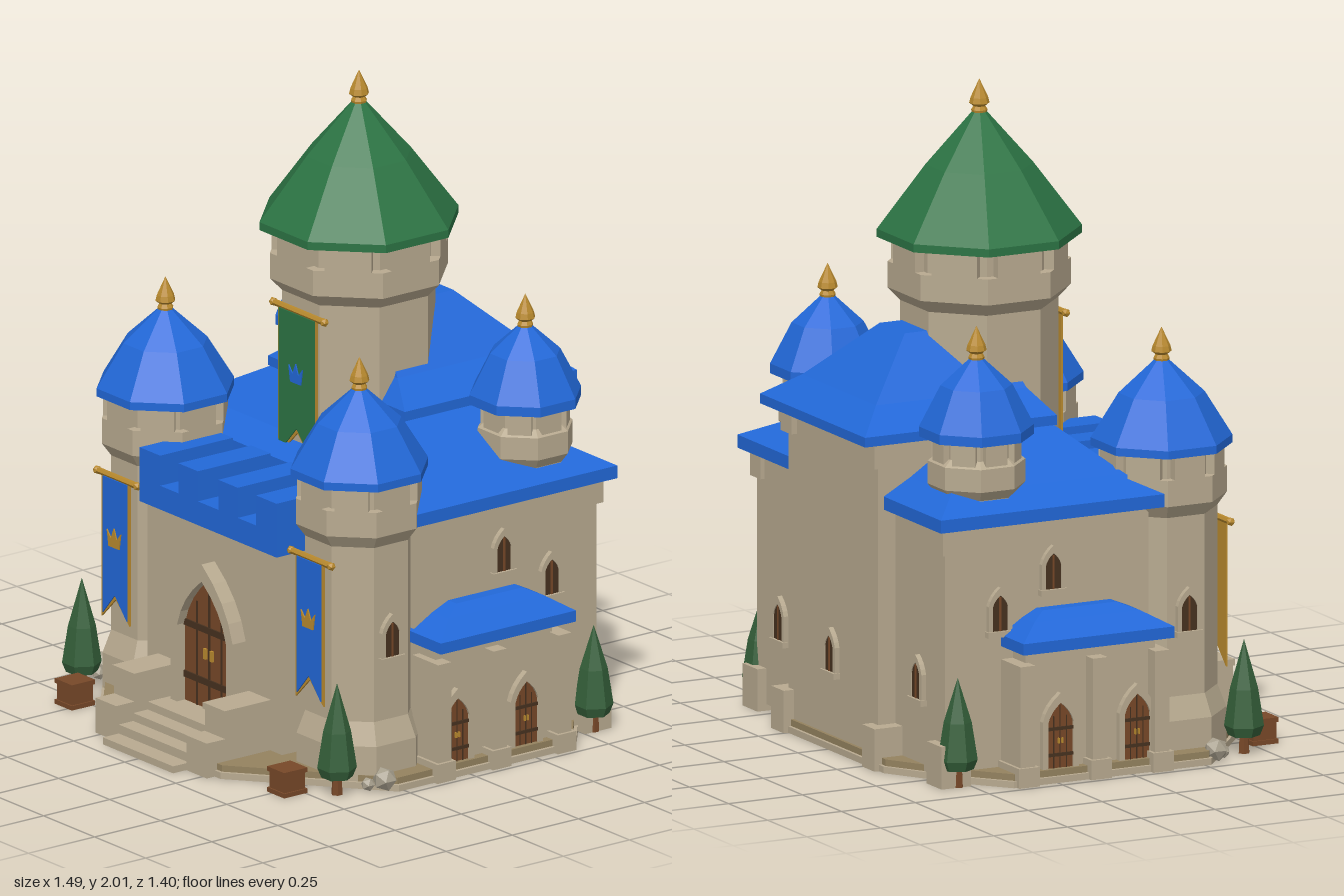
import * as THREE from 'three';

const mat = (name, color) => {
  const m = new THREE.MeshStandardMaterial({ color });
  m.name = name;
  return m;
};

export function createModel() {
  const M = {
    stone: mat('stone', 0xb8aa90), ground: mat('ground', 0x94825f), blue: mat('blue', 0x2268d8),
    green: mat('green', 0x2c7444), gold: mat('gold', 0xb98a2e), wood: mat('wood', 0x774828),
    dark: mat('dark wood', 0x46311f), leaf: mat('leaf', 0x35603a), rock: mat('rock', 0xa8a08e),
  };
  const root = new THREE.Group();
  root.name = 'castle';

  // Faceted mesh helper
  const add = (name, geo, material, parent = root) => {
    const g = geo.index ? geo.toNonIndexed() : geo;
    g.computeVertexNormals();
    const m = new THREE.Mesh(g, material);
    m.name = name;
    parent.add(m);
    return m;
  };
  const group = (name, x, y, z, ry = 0, parent = root) => {
    const g = new THREE.Group();
    g.name = name;
    g.position.set(x, y, z);
    g.rotation.y = ry;
    parent.add(g);
    return g;
  };
  // Box given by its extents
  const box = (name, x0, x1, y0, y1, z0, z1, m, parent) =>
    add(name, new THREE.BoxGeometry(x1 - x0, y1 - y0, z1 - z0)
      .translate((x0 + x1) / 2, (y0 + y1) / 2, (z0 + z1) / 2), m, parent);
  // Flat-fronted octagon from [apothem, y] pairs
  const octagon = (name, profile, m, parent) => {
    const pts = profile.map(([a, y]) => new THREE.Vector2(a / Math.cos(Math.PI / 8), y));
    return add(name, new THREE.LatheGeometry(pts, 8, Math.PI / 8), m, parent);
  };
  // Hipped solid from stacked rectangles [x0, x1, z0, z1, y]
  const hip = (name, layers, m, parent) => {
    const rings = layers.map(([x0, x1, z0, z1, y]) => [[x0, y, z1], [x1, y, z1], [x1, y, z0], [x0, y, z0]]);
    const v = [];
    const quad = (a, b, c, d) => v.push(...a, ...b, ...c, ...a, ...c, ...d);
    for (let i = 0; i + 1 < rings.length; i++)
      for (let k = 0; k < 4; k++) {
        const n = (k + 1) % 4;
        quad(rings[i][k], rings[i][n], rings[i + 1][n], rings[i + 1][k]);
      }
    quad(...rings[rings.length - 1]);
    quad(...[...rings[0]].reverse());
    const g = new THREE.BufferGeometry();
    g.setAttribute('position', new THREE.Float32BufferAttribute(v, 3));
    return add(name, g, m, parent);
  };
  const plate = (name, pts, depth, z, m, parent) =>
    add(name, new THREE.ExtrudeGeometry(new THREE.Shape(pts.map(p => p.isVector2 ? p : new THREE.Vector2(...p))),
      { depth, bevelEnabled: false }).translate(0, 0, z), m, parent);

  // Pointed-arch outline
  const arch = (w, h) => {
    const s = h - w * 1.4, V = (x, y) => new THREE.Vector2(x, y);
    const left = new THREE.QuadraticBezierCurve(V(-w, s), V(-w * 0.8, s + w * 0.8), V(0, h)).getPoints(4);
    const right = left.slice(0, -1).reverse().map(p => V(-p.x, p.y));
    return [V(-w, 0), ...left, ...right, V(w, 0)];
  };
  // Framed arched opening that faces +z
  const opening = (name, x, y, z, ry, w, h, frame, depth, isDoor) => {
    const g = group(name, x, y, z, ry);
    plate('frame', [...arch(w + frame, h + frame * 1.7), ...arch(w, h).reverse()], depth, 0, M.stone, g);
    plate('panel', arch(w, h), 0.008, depth * 0.3, isDoor ? M.wood : M.dark, g);
    const zf = depth * 0.3 + 0.008;
    if (isDoor) {
      for (const k of [-0.5, 0, 0.5])
        box('plankGap', k * w - w * 0.03, k * w + w * 0.03, 0, h * (k ? 0.8 : 0.97), zf, zf + 0.003, M.dark, g);
      for (const k of [0.18, 0.58])
        box('ironBand', -w, w, h * k, h * (k + 0.05), zf, zf + 0.005, M.dark, g);
      for (const s of [-1, 1])
        box('handle', s * w * 0.14 - w * 0.05, s * w * 0.14 + w * 0.05, h * 0.38, h * 0.46, zf, zf + 0.008, M.gold, g);
    } else {
      box('mullion', -0.003, 0.003, 0, h * 0.95, zf, zf + 0.003, M.wood, g);
      box('sill', -w - frame * 1.3, w + frame * 1.3, -0.018, 0, 0, depth + 0.006, M.stone, g);
    }
  };
  const window_ = (x, y, z, ry) => opening('window', x, y, z, ry, 0.026, 0.11, 0.014, 0.016, false);

  // Round-up of a tower: wall, battlements, roof, finial
  const tower = (name, x, z, wall, merlon, roof, finialY, fs) => {
    const g = group(name, x, 0, z);
    octagon('wall', wall, M.stone, g);
    if (merlon) {
      const [a, y0, y1] = merlon, w = a * 0.56;
      for (let i = 0; i < 8; i++) {
        const f = group('battlement', 0, 0, 0, i * Math.PI / 4, g);
        box('merlon', -w / 2, w / 2, y0, y1, a - 0.04, a, M.stone, f);
      }
    }
    octagon('roof', roof, name === 'keep' ? M.green : M.blue, g);
    octagon('finial', [[0, -0.02], [0.02, -0.02], [0.024, 0.0], [0.018, 0.012], [0.03, 0.022], [0.026, 0.04], [0, 0.1]]
      .map(([a, y]) => [a * fs, finialY + y * fs]), M.gold, g);
  };

  // Ground slab
  const slab = (k) => [[-0.72, 0.27], [-0.3, 0.62], [0.3, 0.62], [0.72, 0.27], [0.72, -0.4], [0.6, -0.5],
    [0.36, -0.65], [-0.36, -0.65], [-0.6, -0.5], [-0.72, -0.4]].map(([x, z]) => [x * k, -z * k]);
  for (const [k, y, h, m] of [[1, 0, 0.02, M.stone], [0.985, 0.02, 0.02, M.ground]])
    plate('groundSlab', slab(k), h, y, m).rotation.x = -Math.PI / 2;

  // Main hall, rear block and their roofs
  box('hallWall', -0.6, 0.6, 0.02, 0.8, -0.57, 0.12, M.stone);
  hip('hallRoof', [[-0.65, 0.65, -0.61, 0.155, 0.79], [-0.65, 0.65, -0.61, 0.155, 0.83],
    [-0.545, 0.545, -0.52, 0.07, 0.88], [-0.236, 0.236, -0.26, -0.11, 1.05]], M.blue);
  box('rearWall', -0.285, 0.285, 0.02, 1.01, -0.63, -0.15, M.stone);
  hip('rearRoof', [[-0.335, 0.335, -0.7, -0.05, 1.0], [-0.335, 0.335, -0.7, -0.05, 1.03],
    [-0.235, 0.235, -0.61, -0.1, 1.1], [-0.08, 0.08, -0.43, -0.15, 1.27]], M.blue);

  // Gatehouse with battlemented parapet
  box('gateWall', -0.33, 0.33, 0.02, 0.67, 0, 0.41, M.stone);
  box('parapet', -0.335, 0.335, 0.67, 0.745, 0.16, 0.435, M.blue);
  for (const [a, b] of [[-0.335, -0.235], [-0.145, -0.05], [0.05, 0.145], [0.235, 0.335]])
    box('parapetMerlon', a, b, 0.745, 0.84, 0.16, 0.435, M.blue);
  opening('gate', 0, 0.1, 0.405, 0, 0.12, 0.41, 0.032, 0.055, true);

  // Entrance steps
  [[0.1, 0.53], [0.075, 0.585], [0.05, 0.64], [0.022, 0.7]].forEach(([y, z]) =>
    box('step', -0.172, 0.172, 0, y, 0.4, z, M.stone));

  // Central keep
  tower('keep', 0, -0.135,
    [[0, 0.7], [0.22, 0.7], [0.22, 1.33], [0.255, 1.37], [0.255, 1.45], [0.225, 1.45], [0.225, 1.55], [0, 1.55]],
    [0.255, 1.45, 1.54],
    [[0, 1.53], [0.27, 1.53], [0.285, 1.525], [0.285, 1.55], [0.15, 1.745], [0, 1.93]], 1.91, 0.95);

  // Hanging banner with swallow tail, border, rod and crown emblem
  const banner = (name, x, z, top, h, w, cloth, emblem, crownY) => {
    const g = group(name, x, top, z);
    const tail = (w_, dy) => [[-w_, 0], [-w_, -h + dy], [0, -h + w + dy], [w_, -h + dy], [w_, 0]];
    plate('border', tail(w, 0), 0.006, 0, M.gold, g);
    plate('cloth', tail(w - 0.009, 0.014), 0.004, 0.006, cloth, g);
    const c = 0.034;
    plate('crown', [[-0.75, -0.8], [0.75, -0.8], [1, 0.7], [0.42, 0], [0, 1], [-0.42, 0], [-1, 0.7]]
      .map(([a, b]) => [a * c, b * c + crownY - top]), 0.004, 0.01, emblem, g);
    add('rod', new THREE.CylinderGeometry(0.01, 0.01, w * 2 + 0.06, 6).rotateZ(Math.PI / 2).translate(0, 0.006, 0), M.gold, g);
    for (const s of [-1, 1])
      add('rodKnob', new THREE.IcosahedronGeometry(0.014, 0).translate(s * (w + 0.03), 0.006, 0), M.gold, g);
  };
  banner('keepBanner', 0, 0.092, 1.28, 0.47, 0.095, M.green, M.blue, 1.09);

  // Rear windows
  for (const x of [-0.44, 0, 0.44]) window_(x, 0.24, x ? -0.57 : -0.63, Math.PI);

  // Everything that stands on both sides
  for (const s of [-1, 1]) {
    const bx = (name, a, b, ...rest) => box(name, Math.min(s * a, s * b), Math.max(s * a, s * b), ...rest);
    const side = s * Math.PI / 2;

    tower('frontTower', s * 0.475, 0.23,
      [[0, 0.02], [0.18, 0.02], [0.18, 0.13], [0.155, 0.2], [0.155, 0.75], [0.182, 0.79], [0.182, 0.87],
        [0.155, 0.87], [0.155, 0.96], [0, 0.96]],
      [0.182, 0.87, 0.95],
      [[0, 0.945], [0.185, 0.945], [0.197, 0.94], [0.197, 0.965], [0.12, 1.1], [0, 1.22]], 1.205, 0.95);
    tower('rearTower', s * 0.475, -0.397,
      [[0, 0.82], [0.115, 0.82], [0.115, 0.86], [0.136, 0.89], [0.136, 0.96], [0.112, 0.98], [0.112, 1.06], [0, 1.06]],
      [0.13, 0.96, 1.05],
      [[0, 1.04], [0.15, 1.04], [0.16, 1.035], [0.16, 1.065], [0.1, 1.19], [0, 1.29]], 1.275, 0.95);
    banner('towerBanner', s * 0.475, 0.412, 0.695, 0.445, 0.068, M.blue, M.gold, 0.51);

    // Stepped cheek blocks beside the stairs
    bx('stairBlock', 0.172, 0.272, 0, 0.195, 0.4, 0.58, M.stone);
    bx('stairBlockLow', 0.172, 0.272, 0, 0.11, 0.58, 0.65, M.stone);
    bx('stairCap', 0.168, 0.276, 0.18, 0.2, 0.4, 0.585, M.stone);

    // Side annex with hipped awning, piers and two doors
    bx('annexWall', 0.58, 0.68, 0.02, 0.42, -0.34, 0.1, M.stone);
    const ex = (e, z0, z1, y) => [Math.min(s * 0.58, s * e), Math.max(s * 0.58, s * e), z0, z1, y];
    hip('annexRoof', [ex(0.745, -0.38, 0.13, 0.41), ex(0.745, -0.38, 0.13, 0.445),
      ex(0.68, -0.31, 0.05, 0.49), ex(0.64, -0.26, -0.01, 0.515)], M.blue);
    for (const z of [0.1, -0.11, -0.355]) {
      bx('pier', 0.6, 0.725, 0.02, 0.37, z - 0.025, z + 0.025, M.stone);
      bx('pierFoot', 0.6, 0.735, 0, 0.06, z - 0.035, z + 0.035, M.stone);
    }
    for (const z of [0.03, -0.23])
      opening('sideDoor', s * 0.678, 0.04, z, side, 0.043, 0.2, 0.018, 0.022, true);

    // Side windows
    window_(s * 0.6, 0.57, -0.21, side);
    window_(s * 0.6, 0.46, -0.39, side);
    window_(s * 0.63, 0.4, 0.235, side);

    // Rear buttresses and corbels
    bx('rearButtress', 0.25, 0.33, 0, 0.13, -0.665, -0.56, M.stone);
    bx('cornerButtress', 0.54, 0.635, 0, 0.13, -0.6, -0.5, M.stone);
    bx('rearCorbel', 0.23, 0.3, 0.92, 1.0, -0.65, -0.58, M.stone);
    bx('hallCorbel', 0.55, 0.615, 0.71, 0.79, -0.585, -0.53, M.stone);

    // Trees
    for (const [x, z, h] of [[0.625, 0.43, 0.35], [0.625, -0.54, 0.335]]) {
      const t = group('tree', s * x, 0, z);
      add('trunk', new THREE.CylinderGeometry(0.014, 0.018, 0.08, 6).translate(0, 0.04, 0), M.wood, t);
      const p = [[0, 0.055], [0.048, 0.055], [0.06, 0.085], [0.042, 0.2], [0, h]].map(q => new THREE.Vector2(...q));
      add('foliage', new THREE.LatheGeometry(p, 6, Math.PI / 6), M.leaf, t);
    }

    // Crates and rocks
    const c = group('crate', s * 0.52, 0, 0.537);
    box('crateBody', -0.037, 0.037, 0.004, 0.078, -0.039, 0.039, M.wood, c);
    for (const y of [0, 0.066]) box('crateRim', -0.042, 0.042, y, y + 0.014, -0.044, 0.044, M.wood, c);
    add('rock', new THREE.IcosahedronGeometry(0.038, 0), M.rock).position.set(s * 0.69, 0.038, 0.3);
    add('smallRock', new THREE.IcosahedronGeometry(0.022, 0), M.rock).position.set(s * 0.66, 0.022, 0.34);
  }
  return root;
}
